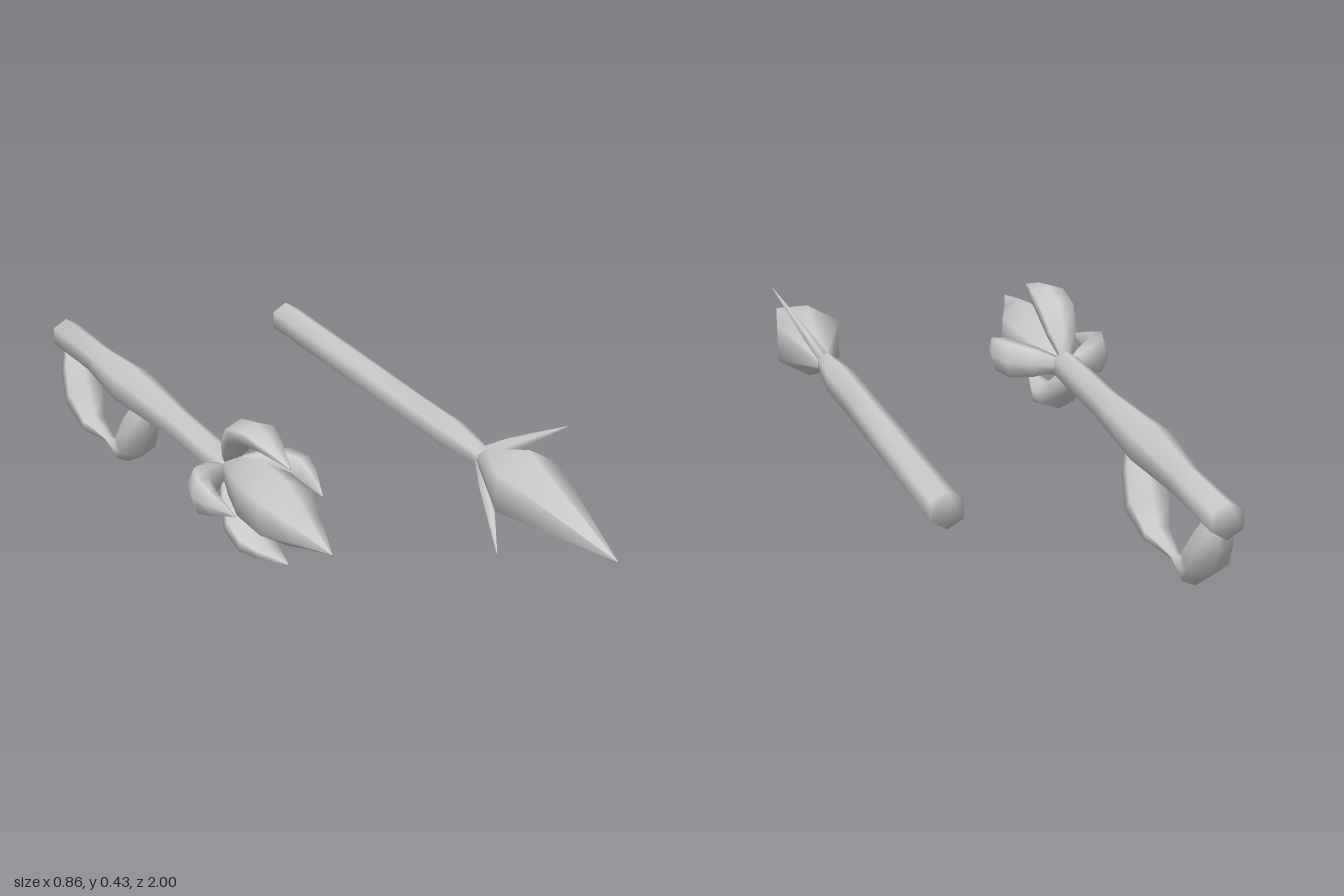
import * as THREE from 'three';

const material = new THREE.MeshStandardMaterial({ color: 0xcccccc });
const V = (x, y, z) => new THREE.Vector3(x, y, z);
const SIDES = 6;

// Smooth six-sided loft with closed ends. Each row: [x, y, z, half width along side, half thickness]
function loft(name, rows, side = V(1, 0, 0)) {
  const centres = rows.map(r => V(r[0], r[1], r[2]));
  const last = rows.length - 1;
  const pos = [], index = [];
  rows.forEach(([, , , w, h], i) => {
    const n = centres[Math.min(i + 1, last)].clone()
      .sub(centres[Math.max(i - 1, 0)]).normalize().cross(side).normalize();
    for (let j = 0; j < SIDES; j++) {
      const a = j / SIDES * Math.PI * 2;
      const p = centres[i].clone().addScaledVector(side, w * Math.sin(a)).addScaledVector(n, h * Math.cos(a));
      pos.push(p.x, p.y, p.z);
    }
  });
  for (let i = 0; i < last; i++) for (let j = 0; j < SIDES; j++) {
    const k = (j + 1) % SIDES;
    const a = i * SIDES + j, b = i * SIDES + k, c = a + SIDES, d = b + SIDES;
    index.push(a, c, b, b, c, d);
  }
  // End caps share the ring vertices, so the shading rolls over the rim
  const e = last * SIDES;
  for (let j = 1; j < SIDES - 1; j++) index.push(0, j, j + 1, e, e + j + 1, e + j);
  const g = new THREE.BufferGeometry();
  g.setAttribute('position', new THREE.Float32BufferAttribute(pos, 3));
  g.setIndex(index);
  g.computeVertexNormals();
  const mesh = new THREE.Mesh(g, material);
  mesh.name = name;
  return mesh;
}

function clawedLance() {
  const lance = new THREE.Group();
  lance.name = 'clawedLance';
  const cx = -0.268, cy = 0.26;

  lance.add(loft('shaft', [
    [cx + 0.002, 0.234, -1, 0.045, 0.046],
    [cx + 0.004, 0.24, -0.75, 0.041, 0.046],
    [cx, 0.248, -0.5, 0.061, 0.062],
    [cx + 0.002, 0.252, -0.18, 0.041, 0.045],
    [cx, 0.257, 0.15, 0.039, 0.04],
    [cx, cy, 0.2, 0.03, 0.03],
  ]));

  lance.add(loft('spearHead', [
    [cx, cy, 0.14, 0.025, 0.025],
    [cx, cy, 0.25, 0.06, 0.06],
    [cx, cy, 0.35, 0.085, 0.085],
    [cx, cy, 0.48, 0.085, 0.083],
    [cx - 0.012, 0.27, 0.6, 0.049, 0.049],
    [cx - 0.027, 0.28, 0.775, 0.001, 0.001],
  ]));

  // Four claws around the head
  const profile = [ // radius, z offset, half width, half thickness
    [0.025, 0, 0.022, 0.018],
    [0.075, 0.04, 0.045, 0.03],
    [0.125, 0.09, 0.057, 0.036],
    [0.148, 0.165, 0.055, 0.03],
    [0.145, 0.235, 0.037, 0.019],
    [0.128, 0.35, 0.002, 0.002],
  ];
  const claws = [ // name, direction, length factor, reach factor, sideways shift
    ['upperClaw', V(0, 1, 0), 1, 1, V(-0.004, 0, 0)],
    ['lowerClaw', V(0, -1, 0), 1, 0.93, V(-0.01, 0, 0)],
    ['leftClaw', V(1, 0, 0), 0.78, 0.94, V(0, 0.004, 0)],
    ['rightClaw', V(-1, 0, 0), 0.78, 0.9, V(0, -0.003, 0)],
  ];
  for (const [name, d, length, reach, shift] of claws) {
    const rows = profile.map(([r, z, w, t]) => [
      cx + shift.x + d.x * r * reach, cy - 0.002 + shift.y + d.y * r * reach, 0.155 + z * length, w * 0.95, t]);
    lance.add(loft(name, rows, d.clone().cross(V(0, 0, 1))));
  }

  // Looped grip below the shaft, pinched in the middle
  lance.add(loft('grip', [
    [cx, 0.235, -0.4, 0.03, 0.025],
    [cx, 0.165, -0.437, 0.052, 0.045],
    [cx, 0.09, -0.483, 0.06, 0.048],
    [cx, 0.035, -0.55, 0.037, 0.025],
    [cx, 0.026, -0.68, 0.014, 0.006],
    [cx, 0.03, -0.8, 0.037, 0.03],
    [cx, 0.093, -0.867, 0.06, 0.048],
    [cx, 0.16, -0.912, 0.05, 0.042],
    [cx, 0.225, -0.942, 0.028, 0.025],
  ]));
  return lance;
}

function pointedLance() {
  const lance = new THREE.Group();
  lance.name = 'pointedLance';
  const cx = 0.335, cy = 0.255;

  lance.add(loft('shaft', [
    [cx + 0.002, cy, -0.8, 0.046, 0.046],
    [cx + 0.002, cy, 0, 0.041, 0.044],
    [cx + 0.002, cy, 0.2, 0.044, 0.045],
    [cx, cy, 0.38, 0.025, 0.026],
    [cx, cy, 0.43, 0.02, 0.02],
  ]));

  // Hollow head around a smaller core
  lance.add(loft('headShell', [
    [cx, cy, 0.37, 0.024, 0.024],
    [cx, cy, 0.58, 0.1, 0.1],
    [cx - 0.003, 0.23, 1, 0.001, 0.001],
  ]));
  lance.add(loft('headCore', [
    [cx, cy, 0.41, 0.008, 0.008],
    [cx, cy, 0.58, 0.078, 0.078],
    [cx, 0.246, 0.79, 0.012, 0.012],
  ]));

  // Two slanted barbs at the neck
  for (const [name, s] of [['leftBarb', 1], ['rightBarb', -1]]) {
    lance.add(loft(name, [
      [cx, cy, 0.36, 0.018, 0.03],
      [cx + s * 0.03, cy + s * 0.05, 0.435, 0.015, 0.024],
      [cx + s * 0.093, cy + s * 0.153, 0.605, 0.001, 0.001],
    ], V(0.85, -0.53, 0)));
  }
  return lance;
}

export function createModel() {
  const model = new THREE.Group();
  model.name = 'lancePair';
  model.add(clawedLance(), pointedLance());
  return model;
}
